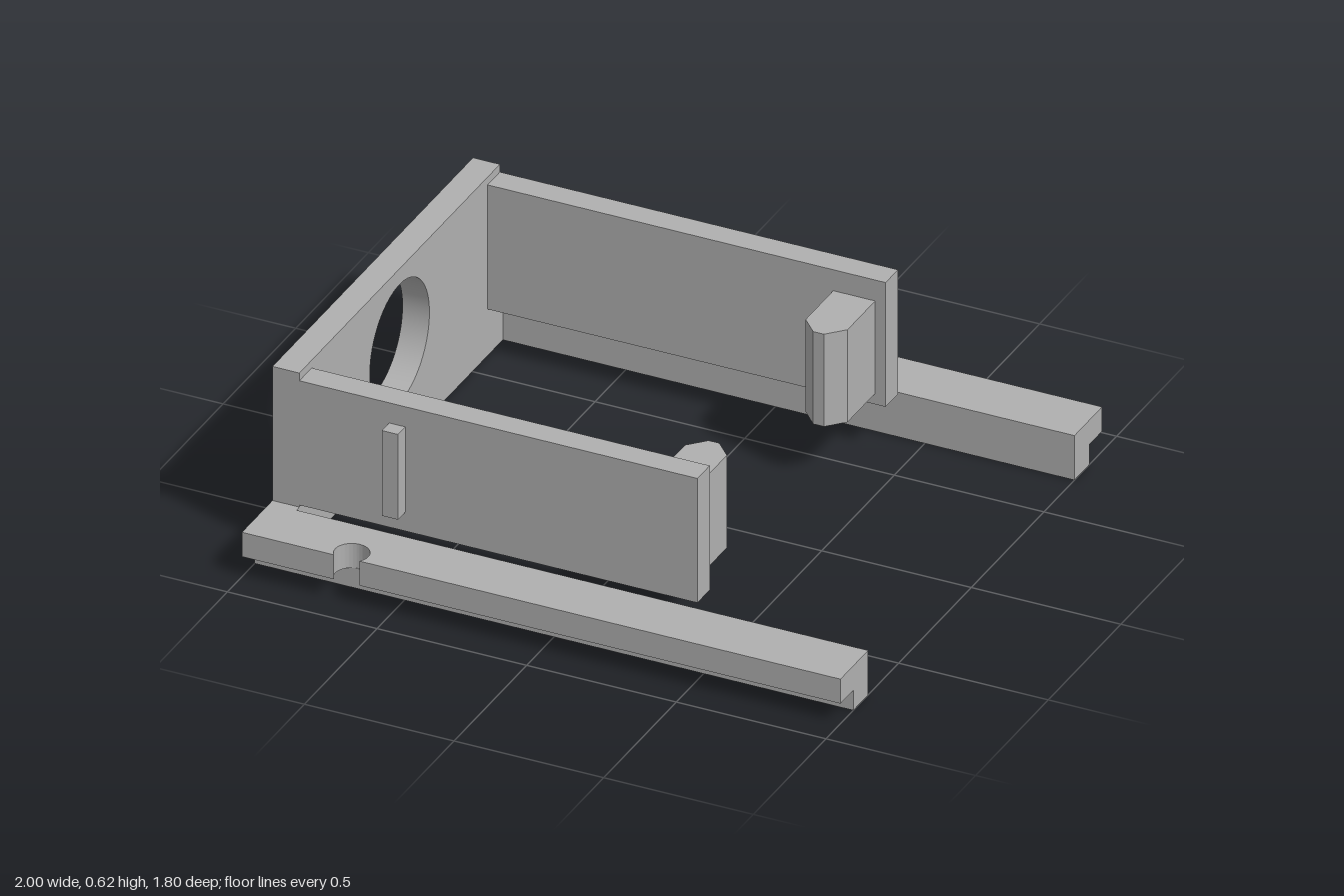
import * as THREE from 'three';
import { toCreasedNormals } from 'three/addons/utils/BufferGeometryUtils.js';

export function createModel() {
  const model = new THREE.Group();
  model.name = 'slidingBracket';
  const grey = new THREE.MeshStandardMaterial({ color: 0xb0b0b0 });
  grey.name = 'plain grey';

  const add = (name, geometry) => {
    const mesh = new THREE.Mesh(geometry, grey);
    mesh.name = name;
    model.add(mesh);
  };

  // Box given by its limits on each axis
  const box = (name, x0, x1, y0, y1, z0, z1) => {
    const g = new THREE.BoxGeometry(x1 - x0, y1 - y0, Math.abs(z1 - z0));
    g.translate((x0 + x1) / 2, (y0 + y1) / 2, (z0 + z1) / 2);
    add(name, g);
  };

  // Extrude an (x, z) outline between two heights
  const slab = (name, shape, y0, y1) => {
    const g = new THREE.ExtrudeGeometry(shape, { depth: y1 - y0, bevelEnabled: false, curveSegments: 32 });
    g.rotateX(Math.PI / 2).translate(0, y1, 0);
    add(name, toCreasedNormals(g, 0.5));
  };

  // End plate with shoulders and a round opening
  const plate = new THREE.Shape([
    [-0.71, 0], [0.71, 0], [0.71, 0.155], [0.69, 0.155],
    [0.69, 0.622], [-0.69, 0.622], [-0.69, 0.155], [-0.71, 0.155],
  ].map(([z, y]) => new THREE.Vector2(z, y)));
  plate.holes.push(new THREE.Path().absarc(0, 0.362, 0.205, 0, Math.PI * 2, true));
  const plateGeometry = new THREE.ExtrudeGeometry(plate, { depth: 0.09, bevelEnabled: false, curveSegments: 48 });
  plateGeometry.rotateY(Math.PI / 2).translate(-1, 0, 0);
  add('endPlate', toCreasedNormals(plateGeometry, 0.5));

  for (const s of [1, -1]) {
    const side = s > 0 ? 'front' : 'back';

    // Stepped rail: wide upper strip with a round notch, narrow lower strip
    const r = 0.055, cx = -0.65, cz = 0.865;
    const a = Math.asin((0.9 - cz) / r);
    const strip = new THREE.Shape();
    strip.moveTo(-1, s * 0.71);
    strip.lineTo(1, s * 0.71);
    strip.lineTo(1, s * 0.9);
    strip.absarc(cx, s * cz, r, s * a, s * (-Math.PI - a), s > 0);
    strip.lineTo(-1, s * 0.9);
    strip.closePath();
    slab(side + 'RailTop', strip, 0.07, 0.155);
    box(side + 'RailFoot', -1, 1, 0, 0.07, s * 0.71, s * 0.812);

    // Upright side wall
    box(side + 'Wall', -0.91, 0.42, 0.162, 0.595, s * 0.605, s * 0.69);

    // Inward peg with a chamfered nose
    const peg = new THREE.Shape([
      [0.245, 0.605], [0.385, 0.605], [0.385, 0.415],
      [0.333, 0.36], [0.297, 0.36], [0.245, 0.415],
    ].map(([x, z]) => new THREE.Vector2(x, s * z)));
    slab(side + 'Peg', peg, 0.2, 0.522);
  }

  // Small upright rib on the front wall only
  box('rib', -0.61, -0.556, 0.228, 0.525, 0.69, 0.74);

  return model;
}
